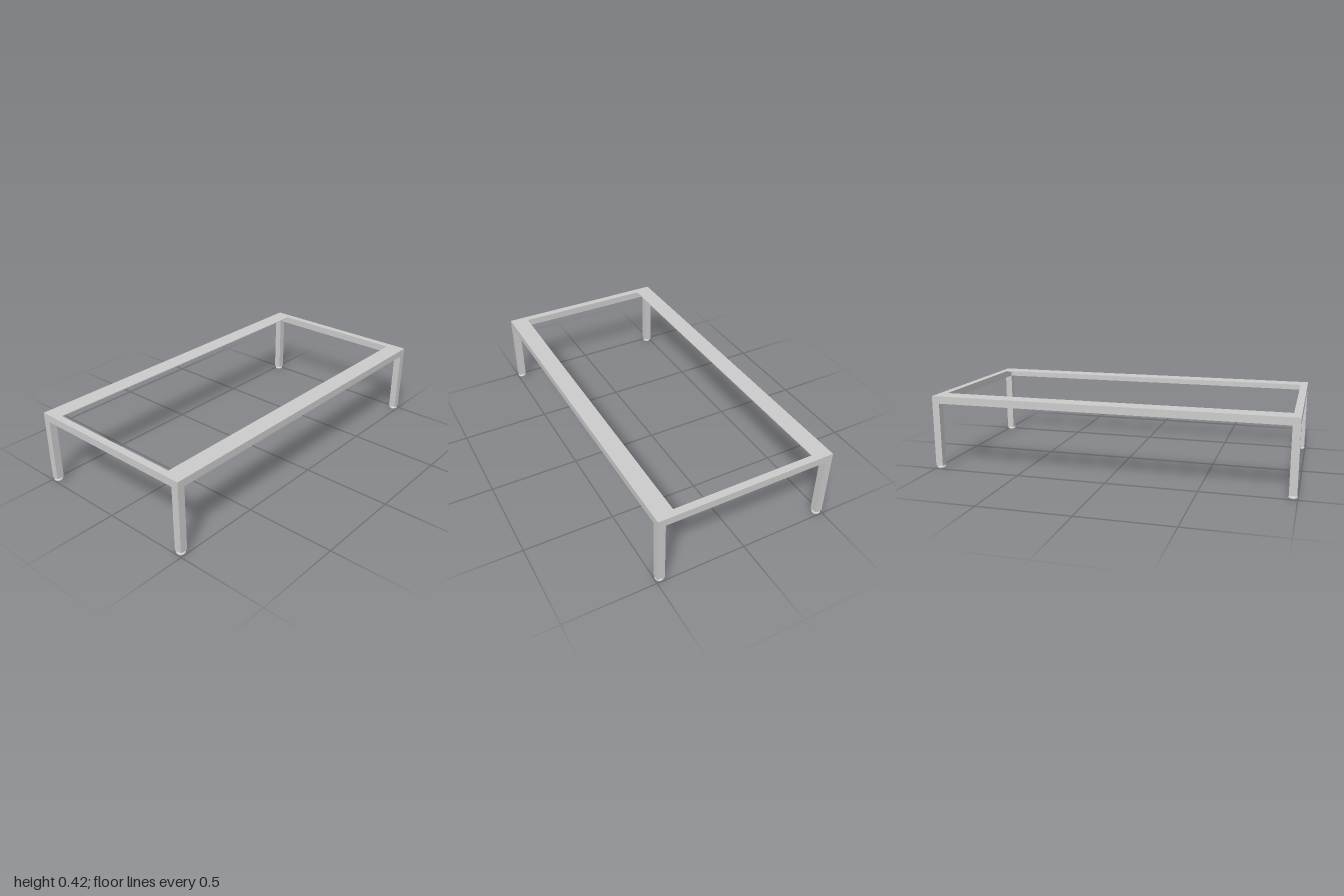
import * as THREE from 'three';

const T = 0.041;              // square tube size
const HX = 0.997, HZ = 0.497; // outer half sizes of the frame
const TOP = 0.418;            // top of the frame
const LEG_BOTTOM = 0.019;

export function createModel() {
  const group = new THREE.Group();
  const material = new THREE.MeshStandardMaterial({ color: 0xcccccc });

  const add = (name, geometry, x, y, z) => {
    const mesh = new THREE.Mesh(geometry, material);
    mesh.name = name;
    mesh.position.set(x, y, z);
    group.add(mesh);
  };
  const box = (name, w, h, d, x, y, z) => add(name, new THREE.BoxGeometry(w, h, d), x, y, z);

  // Levelling foot: a flat disc with a rounded rim and a short neck
  const footProfile = [new THREE.Vector2(0, 0)];
  for (let i = 0; i <= 8; i++) {
    const a = -Math.PI / 2 + (i / 8) * Math.PI;
    footProfile.push(new THREE.Vector2(0.017 + 0.007 * Math.cos(a), 0.0075 + 0.0075 * Math.sin(a)));
  }
  footProfile.push(new THREE.Vector2(0.016, 0.016), new THREE.Vector2(0.016, 0.02));
  const footGeometry = new THREE.LatheGeometry(footProfile, 28);

  const railY = TOP - T / 2;
  const railBottom = TOP - T;
  const cx = HX - T / 2, cz = HZ - T / 2;

  for (const s of [1, -1]) {
    const end = s > 0 ? 'front' : 'back';
    const side = s > 0 ? 'left' : 'right';

    // Long rail with a thin support flange along its inner top edge
    box(end + 'Rail', 2 * HX, T, T, 0, railY, s * cz);
    box(end + 'Flange', 2 * (HX - T), 0.005, 0.06, 0, TOP - 0.0025, s * (HZ - T - 0.03));

    // Short rail between the long ones
    box(side + 'Rail', T, T, 2 * (HZ - T), s * cx, railY, 0);

    // Legs and feet
    for (const sx of [1, -1]) {
      const corner = end + (sx > 0 ? 'Left' : 'Right');
      box(corner + 'Leg', T, railBottom - LEG_BOTTOM, T, sx * cx, (railBottom + LEG_BOTTOM) / 2, s * cz);
      add(corner + 'Foot', footGeometry, sx * 0.976, 0, s * 0.476);
    }
  }
  return group;
}
